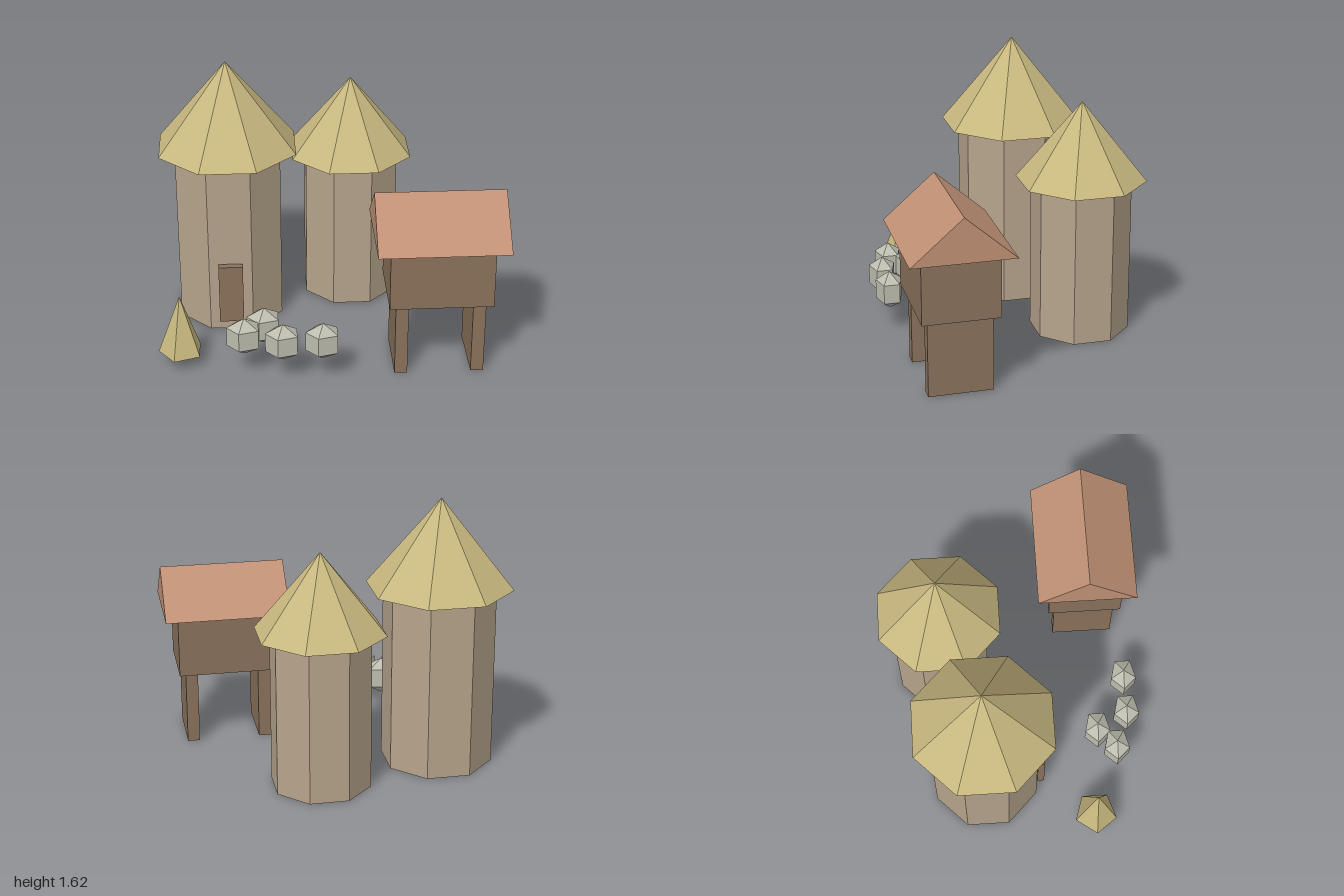
import * as THREE from 'three';

export function createModel() {
  const root = new THREE.Group();
  root.name = 'village';

  const mat = (name, color) => {
    const m = new THREE.MeshStandardMaterial({ color });
    m.name = name;
    return m;
  };
  const thatch = mat('thatch', 0xc9b980);
  const plaster = mat('plaster', 0xb6a48c);
  const wood = mat('wood', 0x8a725b);
  const tile = mat('roofTile', 0xc19175);
  const clay = mat('paleClay', 0xbdbdaf);

  // Adds a faceted mesh with one normal per face
  const add = (parent, name, geometry, material, x, y, z) => {
    const flat = geometry.index ? geometry.toNonIndexed() : geometry;
    flat.computeVertexNormals();
    const mesh = new THREE.Mesh(flat, material);
    mesh.name = name;
    mesh.position.set(x, y, z);
    parent.add(mesh);
    return mesh;
  };
  const group = (name, x, z) => {
    const g = new THREE.Group();
    g.name = name;
    g.position.set(x, 0, z);
    root.add(g);
    return g;
  };

  // Octagonal towers with a wide thatched cone on top
  const tower = (name, x, z, wallR, roofR, eaveY, topY) => {
    const g = group(name, x, z);
    const start = Math.PI / 8;
    add(g, 'towerWall', new THREE.CylinderGeometry(wallR, wallR, eaveY, 8, 1, false, start),
      plaster, 0, eaveY / 2, 0);
    add(g, 'towerRoof', new THREE.ConeGeometry(roofR, topY - eaveY, 8, 1, false, start),
      thatch, 0, (eaveY + topY) / 2, 0);
    return g;
  };
  const tall = tower('tallTower', -0.57, -0.198, 0.335, 0.436, 1.088, 1.62);
  tower('shortTower', 0.178, -0.422, 0.298, 0.387, 0.938, 1.41);
  add(tall, 'door', new THREE.BoxGeometry(0.145, 0.372, 0.042), wood, 0, 0.264, 0.34);

  // Raised store house: two slab legs, box body, gabled roof
  const house = group('storeHouse', 0.625, 0.475);
  for (const side of [-1, 1]) {
    add(house, 'leg', new THREE.BoxGeometry(0.074, 0.45, 0.372), wood, side * 0.222, 0.225, 0);
  }
  add(house, 'houseBody', new THREE.BoxGeometry(0.595, 0.373, 0.446), wood, 0, 0.6365, 0);
  const gable = new THREE.Shape([
    new THREE.Vector2(-0.298, 0),
    new THREE.Vector2(0.298, 0),
    new THREE.Vector2(0, 0.26),
  ]);
  const roof = new THREE.ExtrudeGeometry(gable, { depth: 0.75, bevelEnabled: false });
  roof.translate(0, 0, -0.375).rotateY(Math.PI / 2);
  add(house, 'houseRoof', roof, tile, 0, 0.823, 0);

  // Five-sided straw stack
  add(root, 'strawStack', new THREE.ConeGeometry(0.133, 0.366, 5, 1, false, -Math.PI / 2),
    thatch, -0.867, 0.261, 0.47);

  // Faceted jars, slightly flattened front to back
  const jars = [[-0.5, 0.618], [-0.383, 0.507], [-0.28, 0.694], [-0.05, 0.694]];
  for (const [x, z] of jars) {
    const jar = new THREE.SphereGeometry(0.117, 5, 3);
    jar.scale(1, 1, 0.8);
    add(root, 'jar', jar, clay, x, 0.256, z);
  }

  return root;
}
